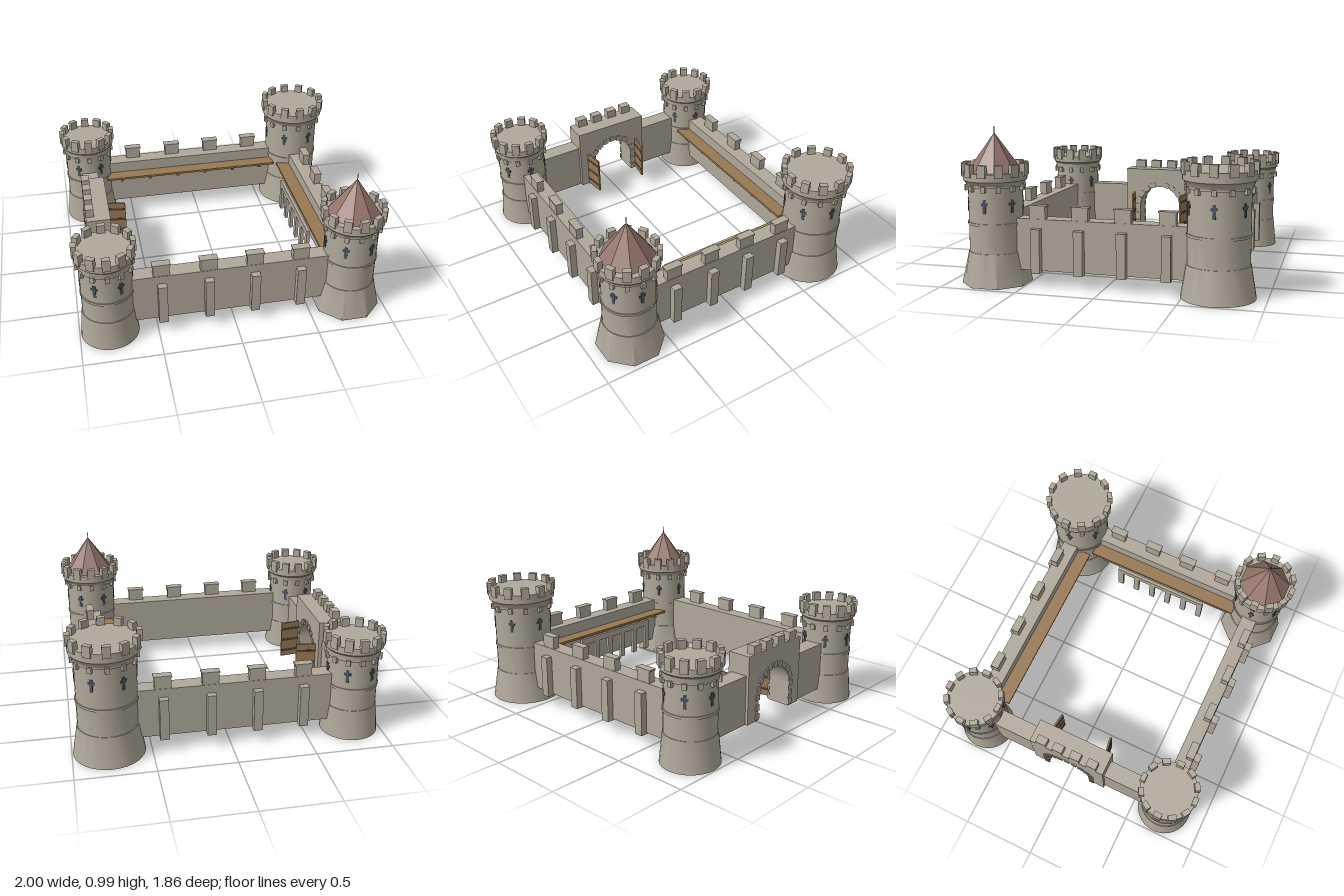
import * as THREE from 'three';
import { toCreasedNormals } from 'three/addons/utils/BufferGeometryUtils.js';

const mat = (name, color) => Object.assign(new THREE.MeshStandardMaterial({ color }), { name });

export function createModel() {
  const stone = mat('stone', 0xb0a89a);
  const roofTile = mat('roof tile', 0x94756a);
  const wood = mat('wood', 0x977853);
  const slitDark = mat('slit dark', 0x48545c);
  const iron = mat('iron', 0x45403c);

  const castle = new THREE.Group();
  castle.name = 'castle';

  const add = (parent, name, geo, material, x = 0, y = 0, z = 0) => {
    const m = new THREE.Mesh(geo, material);
    m.name = name;
    m.position.set(x, y, z);
    parent.add(m);
    return m;
  };
  // Box given by its min and max corners
  const block = (parent, name, material, x0, x1, y0, y1, z0, z1) =>
    add(parent, name, new THREE.BoxGeometry(x1 - x0, y1 - y0, z1 - z0), material,
      (x0 + x1) / 2, (y0 + y1) / 2, (z0 + z1) / 2);
  const group = (parent, name) => {
    const g = new THREE.Group();
    g.name = name;
    parent.add(g);
    return g;
  };
  // Repeat parts around a tower; the part is built facing +x
  const ring = (parent, name, count, build) => {
    for (let i = 0; i < count; i++) {
      const g = group(parent, name);
      g.rotation.y = (i / count) * Math.PI * 2;
      build(g);
    }
  };

  // Round tower: flared foot, banded shaft, corbelled head, merlons and arrow slits
  function tower(name, x, z, t) {
    const g = group(castle, name);
    g.position.set(x, 0, z);
    const { foot, shaft, head, flareY, bandY, slitY, neckY, headY, deckY, topY } = t;
    const profile = [
      [0, 0], [foot, 0], [shaft + 0.004, flareY], [shaft, flareY],
      [shaft, bandY - 0.008], [shaft + 0.006, bandY - 0.008], [shaft + 0.006, bandY + 0.008], [shaft, bandY + 0.008],
      [shaft, neckY], [shaft + 0.008, neckY], [shaft + 0.008, neckY + 0.012],
      [head - 0.012, headY - 0.012], [head, headY], [head, deckY], [0, deckY],
    ].map(([r, y]) => new THREE.Vector2(r, y));
    const geo = new THREE.LatheGeometry(profile, 32);
    if (t.octagonFoot) { // pull the bottom rim out to eight sides
      const p = geo.attributes.position;
      for (let i = 0; i < p.count; i++) {
        if (p.getY(i) > 0.001) continue;
        const a = Math.atan2(p.getZ(i), p.getX(i));
        const off = a - Math.round(a / (Math.PI / 4)) * (Math.PI / 4);
        const k = 1 / Math.cos(off);
        p.setX(i, p.getX(i) * k);
        p.setZ(i, p.getZ(i) * k);
      }
    }
    add(g, 'towerBody', toCreasedNormals(geo, 0.4), stone);
    ring(g, 'merlon', 12, (m) =>
      block(m, 'merlonBlock', stone, head - 0.026, head + 0.008, deckY - 0.025, topY, -0.026, 0.026));
    ring(g, 'corbel', 12, (c) =>
      block(c, 'corbelBlock', stone, shaft - 0.01, shaft + 0.02, neckY - 0.025, neckY + 0.012, -0.014, 0.014));
    ring(g, 'arrowSlit', 6, (s) => {
      block(s, 'slitUpright', slitDark, shaft - 0.004, shaft + 0.003, slitY - 0.042, slitY + 0.042, -0.01, 0.01);
      block(s, 'slitCross', slitDark, shaft - 0.004, shaft + 0.002, slitY + 0.006, slitY + 0.024, -0.022, 0.022);
    });
    return g;
  }

  const low = { foot: 0.187, shaft: 0.163, head: 0.188, flareY: 0.2, bandY: 0.345, slitY: 0.44,
    neckY: 0.545, headY: 0.6, deckY: 0.645, topY: 0.7 };
  const tall = { foot: 0.228, shaft: 0.19, head: 0.222, flareY: 0.205, bandY: 0.385, slitY: 0.545,
    neckY: 0.66, headY: 0.71, deckY: 0.77, topY: 0.82 };
  const roofed = { foot: 0.205, shaft: 0.17, head: 0.2, flareY: 0.21, bandY: 0.39, slitY: 0.505,
    neckY: 0.62, headY: 0.66, deckY: 0.71, topY: 0.765, octagonFoot: true };
  tower('frontGateTower', -0.805, 0.71, low);
  tower('backGateTower', -0.805, -0.705, low);
  tower('tallTower', 0.765, -0.705, tall);
  const spired = tower('roofedTower', 0.765, 0.715, roofed);

  // Pointed roof with a spike
  const cone = new THREE.ConeGeometry(0.186, 0.26, 8).toNonIndexed();
  cone.computeVertexNormals();
  add(spired, 'roof', cone, roofTile, 0, 0.82, 0).rotation.y = Math.PI / 8;
  add(spired, 'spike', new THREE.CylinderGeometry(0.002, 0.003, 0.06, 6), iron, 0, 0.96, 0);

  // Curtain wall along local x, outer side towards local +z
  function wall(name, length, depth, stations, walkway) {
    const g = group(castle, name);
    block(g, 'wallBody', stone, -length / 2, length / 2, 0.1, 0.425, -depth, 0);
    for (const s of stations) {
      block(g, 'buttress', stone, s - 0.029, s + 0.029, 0.09, 0.368, -0.01, 0.043);
      block(g, 'wallMerlon', stone, s - 0.052, s + 0.052, 0.42, 0.5, -0.05, -0.003);
      block(g, 'merlonCap', stone, s - 0.058, s + 0.058, 0.5, 0.51, -0.053, 0);
    }
    if (walkway) {
      const [a, b] = walkway;
      block(g, 'walkway', wood, a, b, 0.33, 0.345, -depth - 0.092, -depth);
      for (let i = 0; i < 6; i++) {
        const s = a + ((i + 0.5) / 6) * (b - a);
        block(g, 'walkwayBracket', wood, s - 0.01, s + 0.01, 0.305, 0.33, -depth - 0.075, -depth);
      }
    }
    return g;
  }
  const along = [-0.468, -0.17, 0.127, 0.425];
  wall('frontWall', 1.4, 0.107, along).position.z = 0.767;
  const back = wall('backWall', 1.4, 0.108, along.map((v) => -v), [-0.6, 0.68]);
  back.rotation.y = Math.PI;
  back.position.z = -0.76;
  const right = wall('sideWall', 1.2, 0.108, [-0.42, -0.143, 0.128, 0.405], [-0.58, 0.55]);
  right.rotation.y = Math.PI / 2;
  right.position.x = 0.82;

  // Colonnade under the side walkway
  const colonnade = group(castle, 'colonnade');
  block(colonnade, 'colonnadeBeam', stone, 0.592, 0.614, 0.285, 0.33, -0.32, 0.36);
  for (let i = 0; i < 6; i++) {
    const z = -0.3 + i * 0.128;
    block(colonnade, 'colonnadePost', stone, 0.592, 0.614, 0.1, 0.29, z - 0.02, z + 0.02);
  }

  // Gate wall stubs on both sides of the gatehouse
  for (const s of [-1, 1])
    block(castle, 'gateWall', stone, -0.865, -0.752, 0.1, 0.425, s > 0 ? 0.25 : -0.6, s > 0 ? 0.6 : -0.25);

  // Gatehouse with an arched passage
  const gate = group(castle, 'gatehouse');
  const R = 0.16, spring = 0.26;
  const shape = new THREE.Shape();
  shape.moveTo(-0.268, 0.1);
  shape.lineTo(-R, 0.1);
  shape.lineTo(-R, spring);
  shape.absarc(0, spring, R, Math.PI, 0, true);
  shape.lineTo(R, 0.1);
  shape.lineTo(0.268, 0.1);
  shape.lineTo(0.268, 0.553);
  shape.lineTo(-0.268, 0.553);
  shape.closePath();
  const gateGeo = new THREE.ExtrudeGeometry(shape, { depth: 0.158, bevelEnabled: false, curveSegments: 20 });
  gateGeo.rotateY(Math.PI / 2);
  add(gate, 'gateBody', gateGeo, stone, -0.884, 0, 0.005);
  for (const z of [-0.18, -0.06, 0.065, 0.188])
    block(gate, 'gateMerlon', stone, -0.884, -0.83, 0.55, 0.61, z - 0.036, z + 0.036);

  // Arch stones on both faces of the passage
  for (const x of [-0.884, -0.726]) {
    for (let i = 0; i < 11; i++) {
      const a = (i / 10) * Math.PI;
      const r = R + 0.014;
      add(gate, 'archStone', new THREE.BoxGeometry(0.014, 0.036, 0.036), stone,
        x, spring + Math.sin(a) * r, 0.005 + Math.cos(a) * r).rotation.x = -a;
    }
    for (const s of [-1, 1])
      for (const y of [0.13, 0.19])
        add(gate, 'jambStone', new THREE.BoxGeometry(0.014, 0.04, 0.036), stone, x, y, 0.005 + s * (R + 0.014));
  }

  // Open door leaves with iron straps
  for (const s of [-1, 1]) {
    const leaf = group(gate, 'doorLeaf');
    leaf.position.set(-0.726, 0, 0.005 + s * 0.205);
    leaf.rotation.y = s * 0.14;
    block(leaf, 'doorPlanks', wood, 0, 0.135, 0.105, 0.37, -0.006, 0.006);
    for (const y of [0.15, 0.235, 0.32])
      block(leaf, 'doorStrap', iron, 0, 0.13, y - 0.008, y + 0.008, -0.008, 0.008);
  }

  return castle;
}
